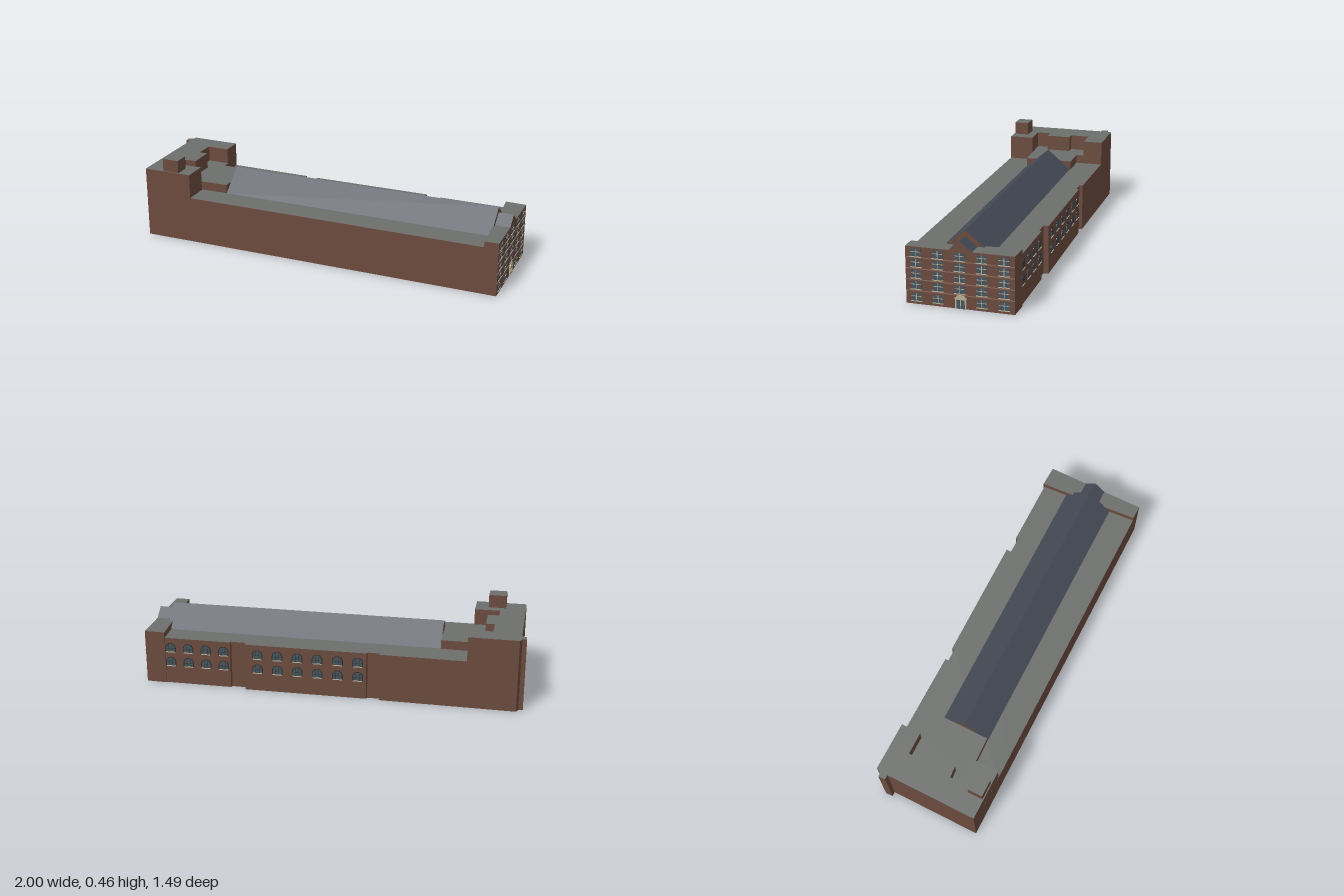
import * as THREE from 'three';

const paint = (color) => new THREE.MeshStandardMaterial({ color, side: THREE.DoubleSide });
const brick = paint(0x6b4a3e), flatRoofMat = paint(0x6c6f6c), slate = paint(0x464b57);
const glass = paint(0x45545e), cream = paint(0xb9ae94), stone = paint(0x86675a), darkFrame = paint(0x33302e);

function add(parent, name, geometry, material, x = 0, y = 0, z = 0) {
  const mesh = new THREE.Mesh(geometry, material);
  mesh.name = name;
  mesh.position.set(x, y, z);
  parent.add(mesh);
  return mesh;
}

const box = (parent, name, mat, w, h, d, x, y, z) => add(parent, name, new THREE.BoxGeometry(w, h, d), mat, x, y, z);

// Flat faces, each a fan of corner points [x, y, z]
function faces(parent, name, material, list) {
  const pos = [];
  for (const f of list)
    for (let i = 1; i < f.length - 1; i++) pos.push(...f[0], ...f[i], ...f[i + 1]);
  const g = new THREE.BufferGeometry();
  g.setAttribute('position', new THREE.Float32BufferAttribute(pos, 3));
  g.computeVertexNormals();
  return add(parent, name, g, material);
}

// Vertical walls along a closed plan outline of [x, z]
function walls(parent, name, plan, y0, y1) {
  return faces(parent, name, brick, plan.map(([x, z], i) => {
    const [x2, z2] = plan[(i + 1) % plan.length];
    return [[x, y0, z], [x2, y0, z2], [x2, y1, z2], [x, y1, z]];
  }));
}

// Horizontal roof surface filling a plan outline
function deck(parent, name, plan, y) {
  const shape = new THREE.Shape(plan.map(([x, z]) => new THREE.Vector2(x, -z)));
  return add(parent, name, new THREE.ShapeGeometry(shape).rotateX(-Math.PI / 2), flatRoofMat, 0, y, 0);
}

// Pitched roof along x with brick gable ends
function gableRoof(parent, name, x0, x1, half, eave, ridge) {
  faces(parent, name, slate, [1, -1].map((s) =>
    s > 0 ? [[x0, eave, half], [x1, eave, half], [x1, ridge, 0], [x0, ridge, 0]]
      : [[x1, eave, -half], [x0, eave, -half], [x0, ridge, 0], [x1, ridge, 0]]));
  faces(parent, name + 'Ends', brick, [
    [[x1, eave, half], [x1, eave, -half], [x1, ridge, 0]],
    [[x0, eave, -half], [x0, eave, half], [x0, ridge, 0]]]);
}

// Upright outline with a round head, standing on y = 0
function archGeometry(w, h, depth) {
  const s = new THREE.Shape();
  s.moveTo(-w / 2, 0);
  s.lineTo(w / 2, 0);
  s.lineTo(w / 2, h - w / 2);
  s.absarc(0, h - w / 2, w / 2, 0, Math.PI, false);
  s.closePath();
  return new THREE.ExtrudeGeometry(s, { depth, bevelEnabled: false, curveSegments: 8 });
}

function place(parent, name, x, y, z, turn) {
  const g = new THREE.Group();
  g.name = name;
  g.position.set(x, y, z);
  g.rotation.y = turn;
  parent.add(g);
  return g;
}

function sashWindow(parent, y, z) {
  const g = place(parent, 'sashWindow', 1, y, z, Math.PI / 2);
  box(g, 'glass', glass, 0.05, 0.038, 0.003, 0, 0, 0);
  box(g, 'mullion', cream, 0.003, 0.038, 0.005, 0, 0, 0);
  box(g, 'transom', cream, 0.05, 0.003, 0.005, 0, 0.004, 0);
  box(g, 'sill', cream, 0.056, 0.004, 0.008, 0, -0.021, 0);
}

function archedWindow(parent, x, y, z) {
  const g = place(parent, 'archedWindow', x, y, z, Math.PI);
  add(g, 'frame', archGeometry(0.058, 0.05, 0.002), darkFrame);
  add(g, 'glass', archGeometry(0.048, 0.044, 0.003), glass, 0, 0.002, 0);
  for (const bx of [-0.009, 0.009]) box(g, 'glazingBar', darkFrame, 0.002, 0.038, 0.005, bx, 0.021, 0.001);
  box(g, 'crossBar', darkFrame, 0.048, 0.002, 0.005, 0, 0.02, 0.001);
  box(g, 'sill', cream, 0.05, 0.004, 0.008, 0, -0.001, 0.002);
}

function entrance(parent) {
  const g = place(parent, 'entrance', 1, 0, 0, Math.PI / 2);
  box(g, 'doors', glass, 0.044, 0.05, 0.004, 0, 0.025, 0);
  for (const x of [-0.024, 0, 0.024]) box(g, 'doorPost', cream, x ? 0.006 : 0.003, 0.052, 0.01, x, 0.026, 0);
  box(g, 'lintel', cream, 0.06, 0.005, 0.014, 0, 0.053, 0);
  add(g, 'doorHead', archGeometry(0.054, 0.028, 0.006), cream, 0, 0.047, 0).scale.y = 0.85;
}

export function createModel() {
  const model = new THREE.Group();
  model.name = 'building';
  const b = place(model, 'turnedBuilding', 0, 0, 0, -0.531);
  const roofY = 0.257, westY = 0.39, courtY = 0.305, eastY = 0.289;

  // Outer walls, with shallow channels on the rear side
  const westEnd = [[-0.992, -0.287], [-1.003, -0.262], [-1.026, -0.26], [-1.024, -0.222], [-1, -0.222], [-1, 0.272]];
  const rear = [[0.89, -0.27], [0.89, -0.264], [0.529, -0.264], [0.525, -0.25], [0.445, -0.252], [0.445, -0.278],
    [-0.209, -0.276], [-0.213, -0.262], [-0.278, -0.262], [-0.278, -0.28]];
  walls(b, 'outerWalls', [...westEnd, [1, 0.274], [1, -0.266], ...rear], 0, roofY);
  deck(b, 'mainFlatRoof', [[-0.73, 0.272], [0.925, 0.274], ...rear, [-0.73, -0.284]], roofY);

  // Tall west block around a roof court
  const west = [...westEnd, [-0.73, 0.272], [-0.73, 0.139], [-0.865, 0.142], [-0.865, 0.067], [-0.805, 0.065],
    [-0.805, -0.072], [-0.853, -0.071], [-0.85, -0.178], [-0.731, -0.178], [-0.731, -0.285]];
  walls(b, 'westBlockWalls', west, roofY, westY);
  deck(b, 'westBlockRoof', west, westY);
  const court = [[-0.88, 0.139], [-0.58, 0.13], [-0.58, -0.136], [-0.73, -0.136], [-0.73, -0.178], [-0.88, -0.178]];
  walls(b, 'courtWalls', court, roofY, courtY);
  deck(b, 'courtFloor', court, courtY);
  const tower = [[-0.893, 0.185], [-0.8, 0.187], [-0.8, 0.266], [-0.893, 0.266]];
  walls(b, 'towerWalls', tower, westY, 0.46);
  deck(b, 'towerRoof', tower, 0.46);

  // East block
  const east = [[0.925, 0.274], [1, 0.274], [1, -0.266], [0.89, -0.27]];
  walls(b, 'eastBlockWalls', east, roofY, eastY);
  deck(b, 'eastBlockRoof', east, eastY);

  // Pitched roofs
  gableRoof(b, 'longPitchedRoof', -0.58, 0.92, 0.131, roofY, 0.366);
  gableRoof(b, 'entranceGable', 0.915, 1, 0.058, eastY, 0.337);

  // Entrance facade: sash windows, string courses and door
  [0.036, 0.096, 0.152, 0.208, 0.26].forEach((y, row) => {
    for (let c = -2; c <= 2; c++)
      if (row || c) sashWindow(b, y, 0.004 + c * 0.109);
  });
  for (const y of [0.069, 0.124, 0.18, 0.236]) box(b, 'stringCourse', stone, 0.006, 0.004, 0.54, 1, y, 0.004);
  entrance(b);

  // Rear arched windows, two rows in two bays
  for (const y of [0.1, 0.18]) {
    for (let i = 0; i < 4; i++) archedWindow(b, 0.566 + i * 0.098, y, -0.264);
    for (let i = 0; i < 6; i++) archedWindow(b, -0.164 + i * 0.108, y, -0.277);
  }
  return model;
}
